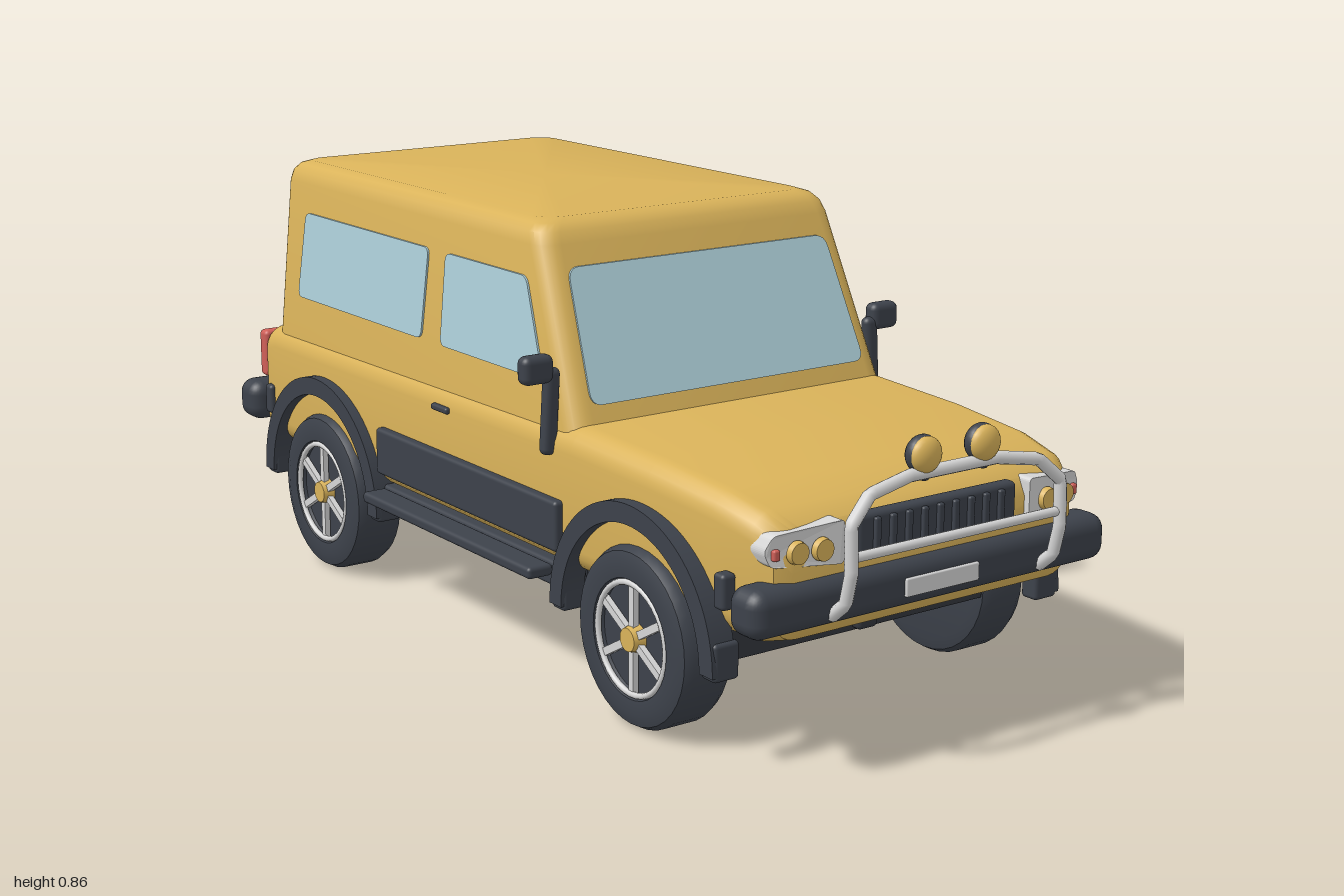
import * as THREE from 'three';
import { toCreasedNormals } from 'three/addons/utils/BufferGeometryUtils.js';
import { RoundedBoxGeometry } from 'three/addons/geometries/RoundedBoxGeometry.js';

const mat = (name, color) => {
  const m = new THREE.MeshStandardMaterial({ color });
  m.name = name;
  return m;
};

export function createModel() {
  const paint = mat('yellow paint', 0xdab35a), dark = mat('dark plastic', 0x3d424b);
  const under = mat('underbody', 0x33363c), glass = mat('glass', 0xaed0da);
  const silver = mat('silver', 0xd6d6d6), red = mat('red lamp', 0xcf5f58);
  const car = new THREE.Group();
  car.name = 'offRoadCar';

  const add = (name, geo, m, x = 0, y = 0, z = 0, parent = car) => {
    const mesh = new THREE.Mesh(geo, m);
    mesh.name = name;
    mesh.position.set(x, y, z);
    parent.add(mesh);
    return mesh;
  };
  const box = (name, m, w, h, d, x, y, z, r = 0.008, parent = car) =>
    add(name, new RoundedBoxGeometry(w, h, d, 3, r), m, x, y, z, parent);
  const disc = (r0, r1, h, n = 28) => new THREE.CylinderGeometry(r0, r1, h, n);

  // Rounded rectangle outline, counter-clockwise
  const ring = (hw, hh, r, seg = 5) => {
    const pts = [];
    [[1, 1], [-1, 1], [-1, -1], [1, -1]].forEach(([sx, sy], q) => {
      for (let i = 0; i <= seg; i++) {
        const a = (q + i / seg) * Math.PI / 2;
        pts.push([sx * (hw - r) + r * Math.cos(a), sy * (hh - r) + r * Math.sin(a)]);
      }
    });
    return pts;
  };
  // Skin over rings of [x, y, z] points, closed at both ends
  const loft = (rings) => {
    const n = rings[0].length, pos = rings.flat(2), idx = [], last = rings.length - 1;
    [rings[0], rings[last]].forEach((rg) => {
      for (let k = 0; k < 3; k++) pos.push(rg.reduce((s, p) => s + p[k], 0) / n);
    });
    const c0 = n * rings.length;
    for (let j = 0; j < n; j++) {
      const k = (j + 1) % n;
      for (let i = 0; i < last; i++) {
        const a = i * n + j, b = i * n + k;
        idx.push(a, b, b + n, a, b + n, a + n);
      }
      idx.push(c0, k, j, c0 + 1, last * n + j, last * n + k);
    }
    const g = new THREE.BufferGeometry();
    g.setAttribute('position', new THREE.Float32BufferAttribute(pos, 3));
    g.setIndex(idx);
    return toCreasedNormals(g, 0.6);
  };
  // Polygon with rounded corners
  const polyShape = (pts, r) => {
    const s = new THREE.Shape(), v = pts.map((p) => new THREE.Vector2(...p)), n = v.length;
    v.forEach((p, i) => {
      const a = v[(i + n - 1) % n].clone().sub(p).setLength(r).add(p);
      const b = v[(i + 1) % n].clone().sub(p).setLength(r).add(p);
      i ? s.lineTo(a.x, a.y) : s.moveTo(a.x, a.y);
      s.quadraticCurveTo(p.x, p.y, b.x, b.y);
    });
    return s;
  };
  const plate = (shape, depth = 0.008) =>
    new THREE.ExtrudeGeometry(shape, { depth, bevelEnabled: false, curveSegments: 6 });
  const warp = (g, fn) => {
    const p = g.attributes.position, v = new THREE.Vector3();
    for (let i = 0; i < p.count; i++) {
      fn(v.fromBufferAttribute(p, i));
      p.setXYZ(i, v.x, v.y, v.z);
    }
    g.computeVertexNormals();
    return g;
  };

  // Lower body and bonnet: z, half width, bottom, top
  add('lowerBody', loft([
    [-0.89, 0.34, 0.26, 0.455], [-0.88, 0.365, 0.243, 0.473], [-0.85, 0.382, 0.235, 0.483],
    [-0.8, 0.388, 0.235, 0.495], [0.37, 0.388, 0.235, 0.508], [0.6, 0.384, 0.235, 0.5],
    [0.78, 0.376, 0.235, 0.486], [0.87, 0.364, 0.235, 0.468], [0.91, 0.345, 0.245, 0.445],
    [0.925, 0.315, 0.27, 0.415],
  ].map(([z, w, y0, y1]) => ring(w, (y1 - y0) / 2, 0.048).map(([x, y]) => [x, y + (y0 + y1) / 2, z]))), paint);

  // Cabin: y, front z, back z, half width
  add('cabin', loft([
    [0.46, 0.384, -0.821, 0.3765], [0.82, 0.225, -0.803, 0.35], [0.842, 0.213, -0.798, 0.344],
    [0.856, 0.198, -0.788, 0.332], [0.863, 0.175, -0.77, 0.312],
  ].map(([y, zf, zb, w]) => ring(w, (zf - zb) / 2, 0.042).map(([x, v]) => [x, y, (zf + zb) / 2 - v]))), paint);
  const t = (y) => (y - 0.46) / 0.36;
  const cabinSide = (y) => 0.3765 - 0.0265 * t(y);
  const cabinFront = (y) => 0.384 - 0.159 * t(y);
  const cabinBack = (y) => -0.821 + 0.018 * t(y);

  // Windows lie on the sloping cabin faces
  add('windscreen', warp(plate(polyShape([[-0.328, 0.54], [0.328, 0.54], [0.308, 0.78], [-0.308, 0.78]], 0.025)),
    (v) => { v.z += cabinFront(v.y) - 0.004; }), glass);
  add('rearWindow', warp(plate(polyShape([[-0.32, 0.575], [0.32, 0.575], [0.305, 0.755], [-0.305, 0.755]], 0.025)),
    (v) => { v.z += cabinBack(v.y) - 0.004; }), glass);
  const sidePanes = {
    frontSideWindow: [[0.255, 0.575], [0.18, 0.76], [-0.11, 0.76], [-0.115, 0.575]],
    rearSideWindow: [[-0.19, 0.575], [-0.175, 0.76], [-0.69, 0.76], [-0.712, 0.575]],
  };

  // Wheel, turned around its axle; outer face towards +x
  const tyreGeo = (r, h, hub, dip) => new THREE.LatheGeometry([
    [0, -h], [r * 0.82, -h], [r * 0.95, -h * 0.88], [r, -h * 0.6], [r, h * 0.6],
    [r * 0.95, h * 0.88], [r * 0.82, h], [hub, h * 0.95], [hub - 0.008, h - dip], [0, h - dip],
  ].map((p) => new THREE.Vector2(...p)), 36);
  const wheel = (name, x, z) => {
    const g = new THREE.Group();
    g.name = name;
    g.position.set(x, 0.171, z);
    if (x < 0) g.rotation.y = Math.PI;
    add('tyre', toCreasedNormals(tyreGeo(0.169, 0.057, 0.112, 0.022), 0.6).rotateZ(-Math.PI / 2), dark, 0, 0, 0, g);
    add('rimRing', new THREE.TorusGeometry(0.104, 0.006, 8, 36).rotateY(Math.PI / 2), silver, 0.049, 0, 0, g);
    for (let i = 0; i < 6; i++) {
      const spoke = new THREE.BoxGeometry(0.012, 0.085, 0.015).translate(0, 0.06, 0).rotateX(i * Math.PI / 3);
      add('spoke', spoke, silver, 0.044, 0, 0, g);
    }
    add('hub', disc(0.022, 0.028, 0.025, 18).rotateZ(-Math.PI / 2), paint, 0.046, 0, 0, g);
    car.add(g);
  };

  const flare = new THREE.Shape();
  flare.absarc(0, 0, 0.25, 0, Math.PI, false);
  flare.absarc(0, 0, 0.212, Math.PI, 0, true);
  const lampZ = (x) => 0.928 - 1.6 * (x - 0.23) ** 2;

  // Parts on both sides
  for (const s of [1, -1]) {
    for (const [name, pts] of Object.entries(sidePanes)) {
      add(name, warp(plate(polyShape(pts, 0.018)).rotateY(-Math.PI / 2),
        (v) => { v.x += s * cabinSide(v.y) + 0.004; }), glass);
    }
    for (const z of [0.58, -0.57]) {
      wheel(z > 0 ? 'frontWheel' : 'rearWheel', s * 0.352, z);
      const arch = new THREE.ExtrudeGeometry(flare, { depth: 0.05, bevelEnabled: false, curveSegments: 24 });
      add('wheelArch', toCreasedNormals(arch.rotateY(-Math.PI / 2), 0.5), dark, s > 0 ? 0.41 : -0.36, 0.172, z);
      for (const e of [1, -1]) box('mudFlap', dark, 0.055, 0.07, 0.04, s * 0.378, 0.197, z + e * 0.23);
    }
    box('doorCladding', dark, 0.03, 0.098, 0.67, s * 0.39, 0.318, 0.008);
    box('sill', dark, 0.06, 0.05, 0.68, s * 0.355, 0.215, 0);
    box('sideStep', dark, 0.055, 0.023, 0.63, s * 0.415, 0.226, -0.005);
    box('doorHandle', dark, 0.014, 0.013, 0.06, s * 0.39, 0.455, -0.085, 0.005);
    box('mirrorArm', dark, 0.032, 0.165, 0.026, s * 0.388, 0.53, 0.302, 0.012).rotation.z = s * 0.06;
    box('mirrorHead', dark, 0.066, 0.054, 0.036, s * 0.417, 0.612, 0.3, 0.014);
    box('tailLamp', red, 0.05, 0.105, 0.035, s * 0.354, 0.418, -0.877, 0.01);
    for (const z of [0.825, -0.825]) box('bumperBracket', dark, 0.03, 0.065, 0.03, s * 0.382, 0.325, z);

    // Headlamp cluster curving round the corner
    const lens = [[0.215, 0.372], [0.355, 0.382], [0.366, 0.41], [0.35, 0.438], [0.215, 0.45]];
    const shape = polyShape(s > 0 ? lens : lens.map(([x, y]) => [-x, y]).reverse(), 0.01);
    add('headlampHousing', warp(plate(shape, 0.06), (v) => { v.z += lampZ(Math.abs(v.x)) - 0.05; }), silver);
    for (const x of [0.262, 0.309]) {
      add('headlamp', disc(0.019, 0.021, 0.012, 20).rotateX(Math.PI / 2), paint, s * x, 0.405, lampZ(x) + 0.012);
    }
    box('indicator', red, 0.014, 0.02, 0.014, s * 0.346, 0.404, lampZ(0.346) + 0.008, 0.004);

    // Spot lamp on the bull bar
    add('spotLampHousing', new THREE.SphereGeometry(0.034, 20, 14), dark, s * 0.068, 0.546, 0.962).scale.z = 0.7;
    const face = new THREE.SphereGeometry(0.033, 20, 8, 0, Math.PI * 2, 0, Math.PI / 2).rotateX(Math.PI / 2);
    add('spotLampLens', face, paint, s * 0.068, 0.546, 0.971).scale.z = 0.6;
    box('spotLampFoot', dark, 0.014, 0.03, 0.014, s * 0.068, 0.515, 0.968, 0.004);
  }

  // Grille with upright ribs
  box('grille', dark, 0.37, 0.078, 0.03, 0, 0.411, 0.922, 0.01);
  for (let i = -4; i <= 4; i++) box('grilleRib', dark, 0.014, 0.06, 0.014, i * 0.036, 0.412, 0.937, 0.004);

  // Bull bar
  const half = [[0.242, 0.285, 0.94], [0.242, 0.315, 0.975], [0.242, 0.37, 0.988], [0.242, 0.455, 0.985],
    [0.195, 0.498, 0.975], [0.1, 0.514, 0.968]];
  const hoop = new THREE.CurvePath();
  const pts = [...half, ...half.map(([x, y, z]) => [-x, y, z]).reverse()].map((p) => new THREE.Vector3(...p));
  for (let i = 1; i < pts.length; i++) hoop.add(new THREE.LineCurve3(pts[i - 1], pts[i]));
  add('bullBarHoop', new THREE.TubeGeometry(hoop, 90, 0.012, 10), silver);
  add('bullBarRail', disc(0.009, 0.009, 0.484, 12).rotateZ(Math.PI / 2), silver, 0, 0.398, 0.986);

  // Bumpers and number plates
  for (const s of [1, -1]) {
    box(s > 0 ? 'frontBumper' : 'rearBumper', dark, 0.825, 0.088, 0.085, 0, 0.309, s * 0.905, 0.03);
    box('numberPlate', silver, 0.17, 0.034, 0.008, 0, 0.306, s * 0.949, 0.003);
  }

  // Spare wheel on the tailgate
  add('spareTyre', toCreasedNormals(tyreGeo(0.168, 0.058, 0.14, 0.005), 0.6).rotateX(-Math.PI / 2), dark, 0, 0.55, -0.93);
  add('spareCover', new THREE.SphereGeometry(0.142, 32, 8, 0, Math.PI * 2, 0, Math.PI / 2).rotateX(-Math.PI / 2), paint,
    0, 0.55, -0.984).scale.z = 0.11;
  box('spareMount', dark, 0.05, 0.05, 0.08, 0, 0.55, -0.85);

  // Underbody
  box('chassis', under, 0.66, 0.06, 1.46, 0, 0.222, 0);
  for (const z of [0.58, -0.57]) {
    box('axleHousing', under, 0.6, 0.09, 0.32, 0, 0.2, z, 0.004);
    box('differential', under, 0.045, 0.06, 0.03, 0, 0.19, z + Math.sign(z) * 0.165);
  }
  return car;
}
